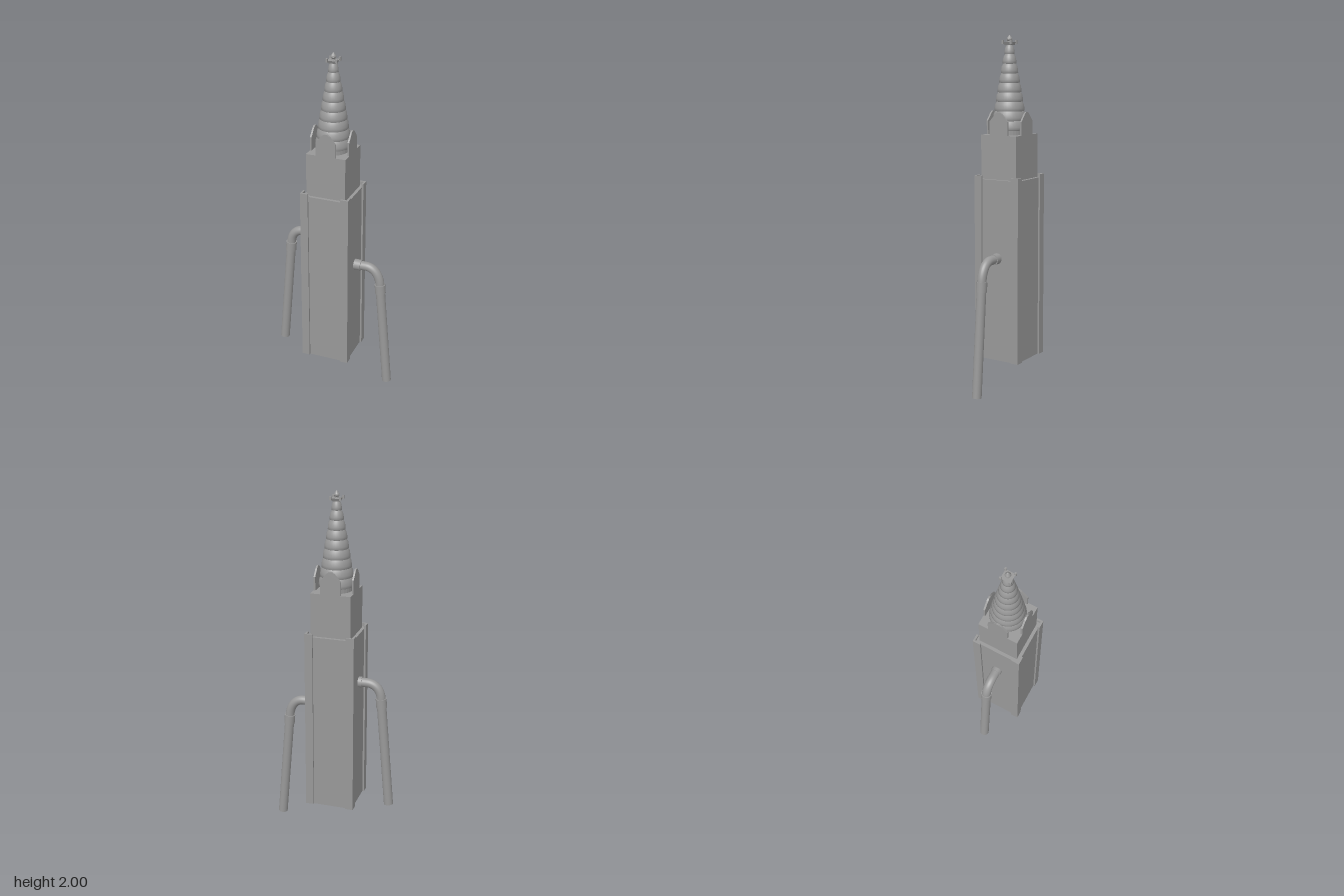
import * as THREE from 'three';

const COLOR = 0x989898;
const mat = new THREE.MeshStandardMaterial({ color: COLOR, side: THREE.DoubleSide });
const flat = new THREE.MeshStandardMaterial({ color: COLOR, side: THREE.DoubleSide, flatShading: true });

function add(parent, name, geometry, material = flat) {
  const mesh = new THREE.Mesh(geometry, material);
  mesh.name = name;
  parent.add(mesh);
  return mesh;
}

const vectors = points => points.map(([x, y]) => new THREE.Vector2(x, y));

// Upright prism from a plan outline
function prism(points, height, y) {
  const g = new THREE.ExtrudeGeometry(new THREE.Shape(vectors(points)), { depth: height, bevelEnabled: false });
  g.rotateX(-Math.PI / 2);
  g.translate(0, y, 0);
  return g;
}

// Cylinder between two points
function rod(a, b, radius, open = false) {
  const dir = b.clone().sub(a);
  const g = new THREE.CylinderGeometry(radius, radius, dir.length(), 24, 1, open);
  g.applyQuaternion(new THREE.Quaternion().setFromUnitVectors(new THREE.Vector3(0, 1, 0), dir.normalize()));
  const mid = a.clone().add(b).multiplyScalar(0.5);
  g.translate(mid.x, mid.y, mid.z);
  return g;
}

// Side pipe: wall collar, elbow, joint sleeve and sloping open leg
function makePipe(name, side, wallX, collarLength, y, joint, foot) {
  const pipe = new THREE.Group();
  pipe.name = name;
  const v = (x, h) => new THREE.Vector3(side * x, h, 0);
  const top = v(...joint), bottom = v(...foot);
  const down = bottom.clone().sub(top).normalize();
  const collarEnd = wallX + collarLength;
  add(pipe, 'wallCollar', rod(v(wallX - 0.01, y), v(collarEnd, y), 0.031), mat);
  const bendStart = v(joint[0] - 0.085, y);
  const path = new THREE.CurvePath();
  path.add(new THREE.LineCurve3(v(collarEnd - 0.01, y), bendStart));
  path.add(new THREE.CubicBezierCurve3(bendStart, v(joint[0] - 0.035, y),
    top.clone().addScaledVector(down, -0.055), top));
  add(pipe, 'elbow', new THREE.TubeGeometry(path, 28, 0.026, 24), mat);
  add(pipe, 'jointSleeve', rod(top, top.clone().addScaledVector(down, 0.055), 0.031), mat);
  add(pipe, 'leg', rod(top, bottom, 0.027, true), mat);
  return pipe;
}

export function createModel() {
  const model = new THREE.Group();
  model.name = 'tower';
  const tower = new THREE.Group();
  tower.name = 'towerBody';
  tower.position.x = -0.011;
  model.add(tower);

  // Hollow main shaft, open underneath, with a ledge on top
  const H = 0.133, bottomY = 0.162, topY = 1.203;
  for (let i = 0; i < 4; i++) {
    const wall = new THREE.PlaneGeometry(2 * H, topY - bottomY);
    wall.translate(0, (topY + bottomY) / 2, H);
    wall.rotateY(i * Math.PI / 2);
    add(tower, 'shaftWall', wall);
  }
  const ledge = new THREE.PlaneGeometry(2 * H, 2 * H);
  ledge.rotateX(-Math.PI / 2);
  add(tower, 'shaftLedge', ledge).position.y = topY;

  // L-shaped corner posts
  const o = 0.143, n = 0.132, e = 0.097;
  const postOutline = [[e, o], [e, n], [n, n], [n, e], [o, e], [o, o]];
  for (let i = 0; i < 4; i++) {
    add(tower, 'cornerPost', prism(postOutline, 1.06, bottomY)).rotation.y = i * Math.PI / 2;
  }

  // Upper storey
  add(tower, 'upperStorey', new THREE.BoxGeometry(0.23, 0.25, 0.23)).position.y = 1.325;

  // Angular gables standing on the four upper walls
  const gableShape = new THREE.Shape(vectors([[-0.058, 1.445], [0.058, 1.445], [0.058, 1.527],
    [0.022, 1.568], [0.008, 1.578], [-0.008, 1.578], [-0.022, 1.568], [-0.058, 1.527]]));
  for (let i = 0; i < 4; i++) {
    const g = new THREE.ExtrudeGeometry(gableShape, { depth: 0.01, bevelEnabled: false });
    g.translate(0, 0, 0.105);
    add(tower, 'gable', g).rotation.y = i * Math.PI / 2;
  }

  // Spire of stepped, bulging rings
  const base = 1.475, tip = 1.945, rings = 9, step = (tip - base) / rings;
  const radius = t => 0.1 - 0.067 * t - 0.015 * t * t;
  add(tower, 'spireDrum', new THREE.CylinderGeometry(0.088, 0.088, 0.05, 32)).position.y = 1.465;
  for (let i = 0; i < rings; i++) {
    const r0 = radius(i / rings), r1 = radius((i + 1) / rings);
    const profile = [[r0 - 0.007, 0], [r0, 0.003], [r0 - 0.001, step * 0.35],
      [(r0 + r1) / 2, step * 0.75], [r1 - 0.005, step + 0.002]];
    add(tower, 'spireRing', new THREE.LatheGeometry(vectors(profile), 32), mat).position.y = base + i * step;
  }

  // Crown: flared square plate, corner points and a small pointed finial
  const plate = new THREE.CylinderGeometry(0.028 * Math.SQRT2, 0.02 * Math.SQRT2, 0.016, 4);
  plate.rotateY(Math.PI / 4);
  add(tower, 'crownPlate', plate).position.y = 1.951;
  for (const x of [-1, 1]) {
    for (const z of [-1, 1]) {
      add(tower, 'crownPoint', new THREE.BoxGeometry(0.011, 0.02, 0.011))
        .position.set(x * 0.027, 1.96, z * 0.027);
    }
  }
  const finial = [[0, 1.95], [0.012, 1.952], [0.01, 1.966], [0.016, 1.974], [0.014, 1.982], [0.005, 1.996], [0, 2]];
  add(tower, 'finial', new THREE.LatheGeometry(vectors(finial), 12));

  // Pipes at different heights on the two sides
  model.add(makePipe('rightPipe', -1, 0.144, 0.02, 0.915, [0.276, 0.828], [0.333, 0.161]));
  model.add(makePipe('leftPipe', 1, 0.122, 0.04, 0.758, [0.277, 0.655], [0.333, 0.0025]));

  return model;
}
